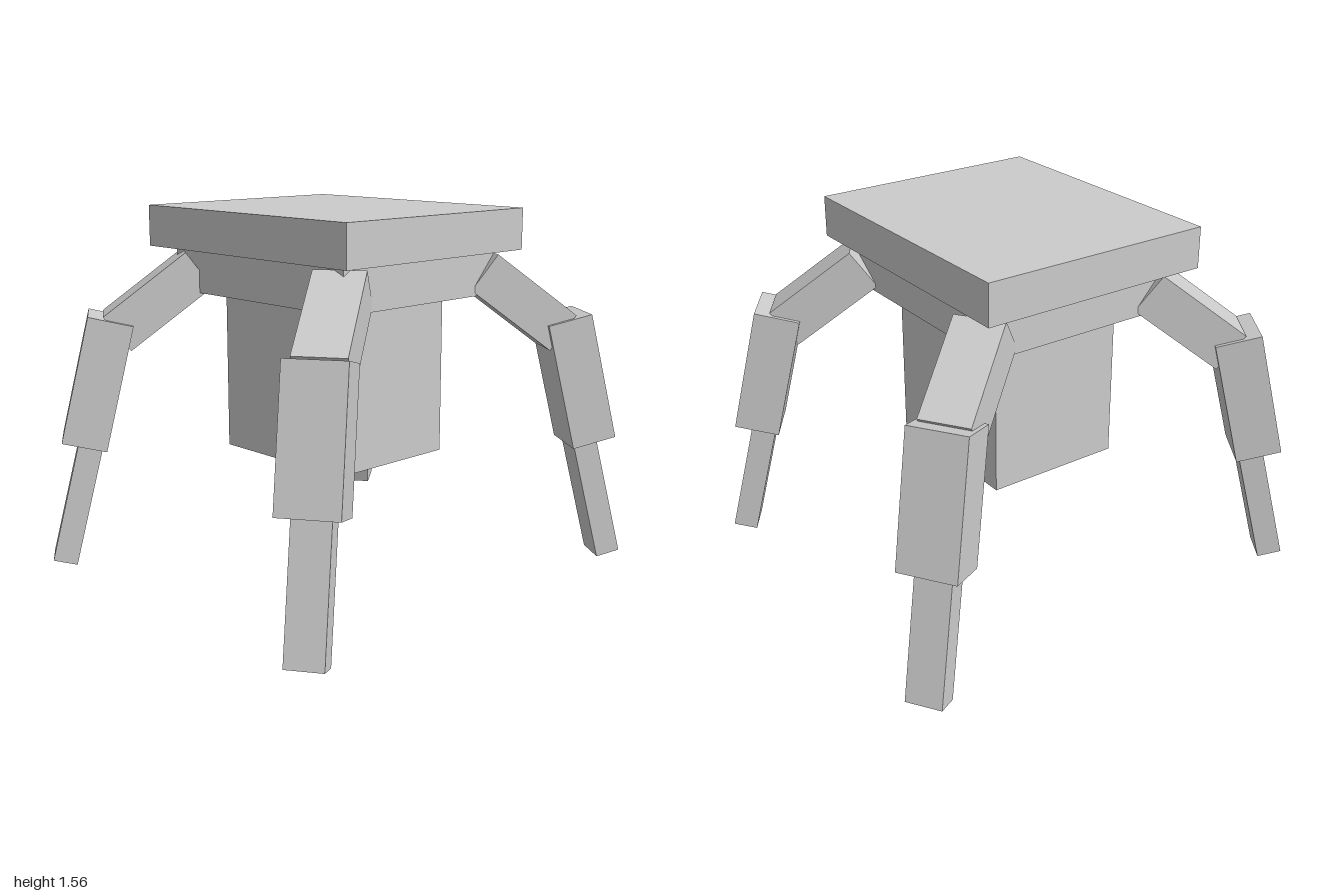
import * as THREE from 'three';

const material = new THREE.MeshStandardMaterial({ color: 0xcccccc, flatShading: true });

function box(name, w, h, d, x, y, z) {
  const mesh = new THREE.Mesh(new THREE.BoxGeometry(w, h, d), material);
  mesh.name = name;
  mesh.position.set(x, y, z);
  return mesh;
}

// Leg segment in the leg's own plane (x outward, y up): starts at its upper
// outer edge (r, y) and slopes down by the given angle in degrees.
function segment(name, r, y, degrees, length, thickness, width, offset) {
  const a = THREE.MathUtils.degToRad(degrees);
  const c = Math.cos(a), s = Math.sin(a);
  const mesh = box(name, length, thickness, width,
    r + (c * length - s * thickness) / 2,
    y - (s * length + c * thickness) / 2,
    offset);
  mesh.rotation.z = -a;
  return mesh;
}

function createLeg(name, sx, sz) {
  const leg = new THREE.Group();
  leg.name = name;
  const offset = 0.15 * sx * sz;
  leg.add(
    segment('upperLeg', 0.64, 1.375, 37, 0.443, 0.187, 0.212, offset),
    segment('middleLeg', 1.057, 1.113, 76.4, 0.56, 0.195, 0.247, offset),
    segment('lowerLeg', 1.10, 0.63, 76, 0.62, 0.105, 0.154, offset),
  );
  const a = THREE.MathUtils.degToRad(33.9);
  leg.rotation.y = -Math.atan2(sz * Math.sin(a), sx * Math.cos(a));
  return leg;
}

export function createModel() {
  const model = new THREE.Group();
  model.name = 'fourLeggedWalker';

  // Stacked body, slightly off centre between the legs
  model.add(
    box('topSlab', 1.03, 0.175, 1.215, -0.02, 1.478, 0),
    box('shoulderSlab', 0.88, 0.19, 1.03, -0.02, 1.297, 0),
    box('body', 0.605, 0.70, 0.71, -0.018, 0.86, 0),
  );

  // Four splayed legs
  model.add(
    createLeg('frontLeftLeg', 1, 1),
    createLeg('frontRightLeg', -1, 1),
    createLeg('backLeftLeg', 1, -1),
    createLeg('backRightLeg', -1, -1),
  );
  return model;
}
